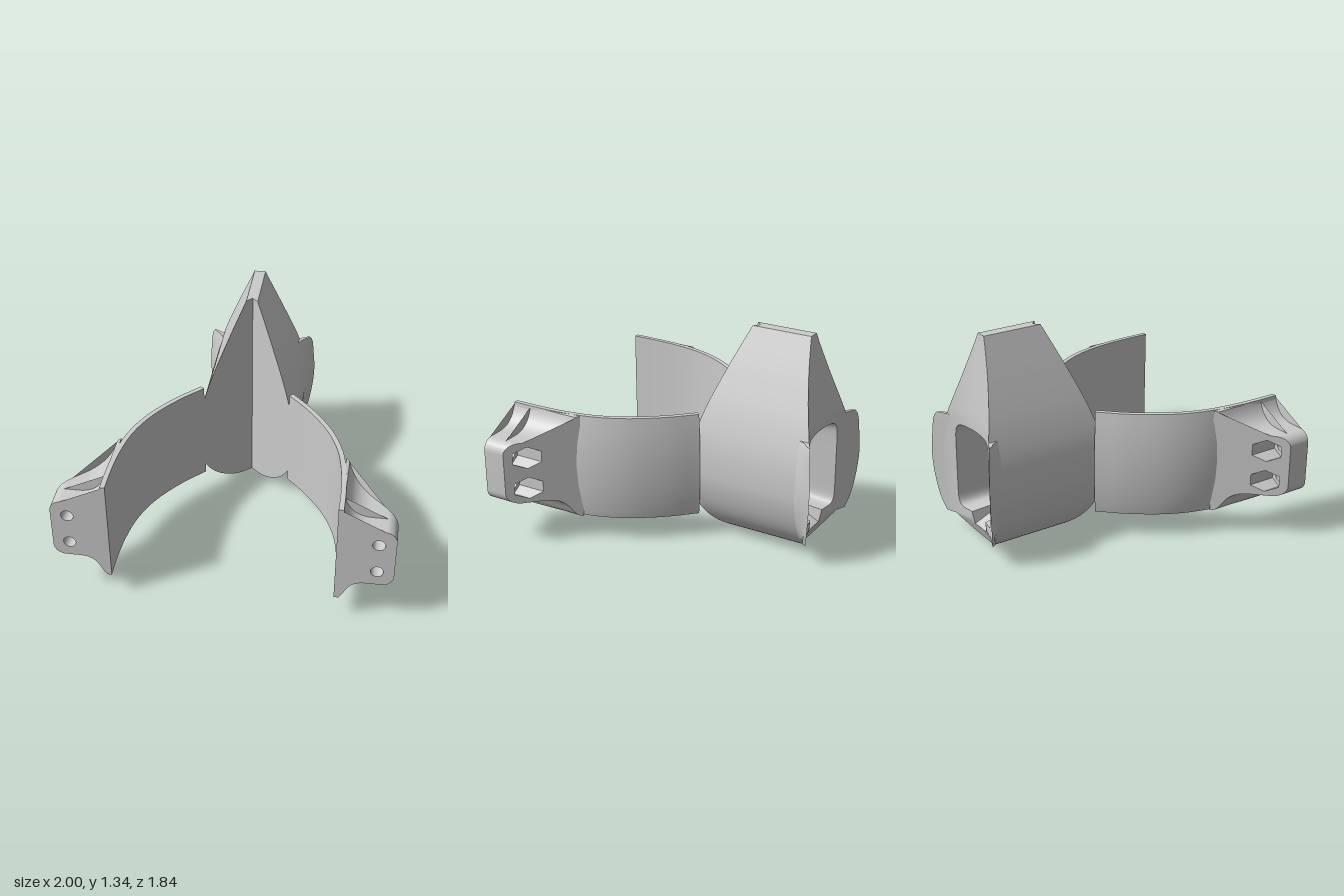
import * as THREE from 'three';
import { toCreasedNormals } from 'three/addons/utils/BufferGeometryUtils.js';

const material = new THREE.MeshStandardMaterial({ color: 0xcccccc, side: THREE.DoubleSide });

// Skin a list of closed rings (each a list of [x, y, z])
function loft(rings) {
  const n = rings[0].length, index = [];
  for (let i = 0; i < rings.length - 1; i++) {
    for (let j = 0; j < n; j++) {
      const a = i * n + j, b = i * n + (j + 1) % n, d = a + n, c = b + n;
      index.push(a, d, b, b, d, c);
    }
  }
  const geo = new THREE.BufferGeometry();
  geo.setAttribute('position', new THREE.Float32BufferAttribute(rings.flat(2), 3));
  geo.setIndex(index);
  return geo;
}

// A ring shrunk to its middle, used to close the end of a loft
function cap(ring) {
  const mid = [0, 1, 2].map(k => ring.reduce((s, p) => s + p[k], 0) / ring.length);
  return ring.map(() => mid);
}

const capped = rings => loft([cap(rings[0]), ...rings, cap(rings[rings.length - 1])]);

function makeMesh(name, source, mirrored = false, crease = 0.6) {
  const geo = source.index ? source.toNonIndexed() : source.clone();
  if (mirrored) {
    const p = geo.attributes.position;
    for (let i = 0; i < p.count; i += 3) {
      const v = [0, 2, 1].map(k => [-p.getX(i + k), p.getY(i + k), p.getZ(i + k)]);
      v.forEach((q, k) => p.setXYZ(i + k, ...q));
    }
  }
  geo.deleteAttribute('uv');
  const mesh = new THREE.Mesh(toCreasedNormals(geo, crease), material);
  mesh.name = name;
  return mesh;
}

// Right half of the almond-shaped body section
const profile = new THREE.CatmullRomCurve3([
  [0, 0], [0.08, 0.012], [0.16, 0.06], [0.22, 0.125], [0.27, 0.22], [0.305, 0.36],
  [0.31, 0.47], [0.295, 0.63], [0.245, 0.82], [0.15, 1.07], [0.035, 1.34],
].map(([x, y]) => new THREE.Vector3(x, y, 0)), false, 'centripetal').getSpacedPoints(70);

function halfWidth(y) {
  const i = Math.max(1, profile.findIndex(p => p.y >= y));
  const a = profile[i - 1], b = profile[i];
  return a.x + (b.x - a.x) * (y - a.y) / (b.y - a.y);
}

// Concave back: a cylinder wall, leaning forward above and below the lips
function backZ(x, y) {
  const lean = y > 0.8 ? (y - 0.8) / 0.54 : y < 0.12 ? (0.12 - y) / 0.12 : 0;
  return -1.4 + Math.sqrt(0.36 - x * x) + 0.055 * lean;
}

// Body with a V-shaped front and a pocket in the back
function bodyGeometry() {
  const right = profile.map(p => [p.x, p.y]);
  const left = right.slice(1).reverse().map(([x, y]) => [-x, y]);
  const outline = [...right, [0, 1.34], ...left];
  const cy = 0.46;
  const hole = outline.map(([x, y]) => {
    const dx = x, dy = y - cy;
    const r = (Math.abs(dx / 0.2) ** 9 + Math.abs(dy / 0.28) ** 9) ** (-1 / 9);
    const px = dx * r, py = cy + dy * r;
    // drain notch in the lower rim
    return [px, py < cy && Math.abs(px) < 0.07 ? 0.1 : py];
  });
  const rings = [
    outline.map(([, y]) => [0, y, -0.4]),
    outline.map(([x, y]) => [x, y, Math.abs(x) - 0.4]),
  ];
  const steps = 8;
  for (let s = 0; s <= steps; s++) {
    rings.push(outline.map(([x, y], i) => {
      const t = s / steps;
      const px = x + (hole[i][0] - x) * t, py = y + (hole[i][1] - y) * t;
      return [px, py, backZ(px, py)];
    }));
  }
  const floor = hole.map(([x, y]) => [x * 0.85, cy + (Math.max(y, 0.18) - cy) * 0.9, -0.57]);
  rings.push(floor, cap(floor));
  return loft(rings);
}

// Curved arm, swept along its inner face
function armGeometry() {
  const path = new THREE.CatmullRomCurve3([
    [0.27, -0.13], [0.405, 0.015], [0.54, 0.21], [0.617, 0.4], [0.652, 0.6], [0.662, 0.78], [0.662, 0.92],
  ].map(([x, z]) => new THREE.Vector3(x, 0, z)));
  const section = [
    [0, 0.153], [0, 0.82], [0.03, 0.82], [0.042, 0.74], [0.054, 0.62],
    [0.058, 0.49], [0.054, 0.36], [0.042, 0.22], [0.028, 0.153],
  ];
  const rings = [];
  for (let i = 0; i <= 40; i++) {
    const p = path.getPointAt(i / 40), t = path.getTangentAt(i / 40);
    // the end stays square with the front of the ear
    rings.push(section.map(([o, y]) => [p.x + t.z * o, y, Math.min(0.92, p.z - t.x * o)]));
  }
  return capped(rings);
}

// Outline of the bolted ear, with holes of a given radius and side count
function earShape(radius, sides) {
  const s = new THREE.Shape();
  s.moveTo(0.67, 0.153);
  s.lineTo(0.685, 0.155);
  s.bezierCurveTo(0.73, 0.18, 0.72, 0.287, 0.84, 0.287);
  s.lineTo(0.93, 0.287);
  s.absarc(0.93, 0.357, 0.07, -Math.PI / 2, 0, false);
  s.absarc(0.93, 0.615, 0.07, 0, Math.PI / 2, false);
  s.lineTo(0.85, 0.685);
  s.bezierCurveTo(0.76, 0.685, 0.71, 0.74, 0.69, 0.815);
  s.lineTo(0.67, 0.82);
  for (const y of [0.385, 0.585]) {
    const points = [];
    for (let i = 0; i < sides; i++) {
      const a = -i / sides * Math.PI * 2 + Math.PI / 2;
      points.push(new THREE.Vector2(0.9 + radius * Math.cos(a), y + radius * Math.sin(a)));
    }
    s.holes.push(new THREE.Path(points));
  }
  return s;
}

function earPlateGeometry() {
  return new THREE.ExtrudeGeometry(earShape(0.037, 28), { depth: 0.12, bevelEnabled: false }).translate(0, 0, 0.8);
}

// Sloping rear of the ear with hexagonal nut pockets
function earWedgeGeometry() {
  const geo = new THREE.ExtrudeGeometry(earShape(0.07, 6), { depth: 1, bevelEnabled: false });
  const p = geo.attributes.position;
  for (let i = 0; i < p.count; i++) p.setZ(i, p.getZ(i) < 0.5 ? p.getX(i) - 0.22 : 0.8);
  return geo;
}

// Thin tapering lip along each side of the concave back
function lipGeometry() {
  const tip = new THREE.CatmullRomCurve3([
    [0.285, 0.125], [0.318, 0.2], [0.347, 0.34], [0.36, 0.5], [0.352, 0.64], [0.338, 0.755], [0.322, 0.782],
  ].map(([x, y]) => new THREE.Vector3(x, y, 0)));
  return capped(tip.getSpacedPoints(24).map(({ x, y }) => {
    const h = halfWidth(y), inner = h - 0.02;
    return [
      [inner, y, backZ(inner, y)],
      [x, y, backZ(x, y)],
      [x - 0.012, y, backZ(x, y) + 0.025],
      [h + (x - h) * 0.3, y, -0.84],
      [h, y, -0.8],
      [inner, y, -0.8],
    ];
  }));
}

export function createModel() {
  const model = new THREE.Group();
  model.name = 'clampBracket';
  model.add(makeMesh('body', bodyGeometry(), false, 0.5));
  const parts = {
    Arm: armGeometry(), EarPlate: earPlateGeometry(), EarWedge: earWedgeGeometry(), BackLip: lipGeometry(),
  };
  for (const side of ['left', 'right']) {
    for (const [part, geo] of Object.entries(parts)) model.add(makeMesh(side + part, geo, side === 'right'));
  }
  return model;
}
